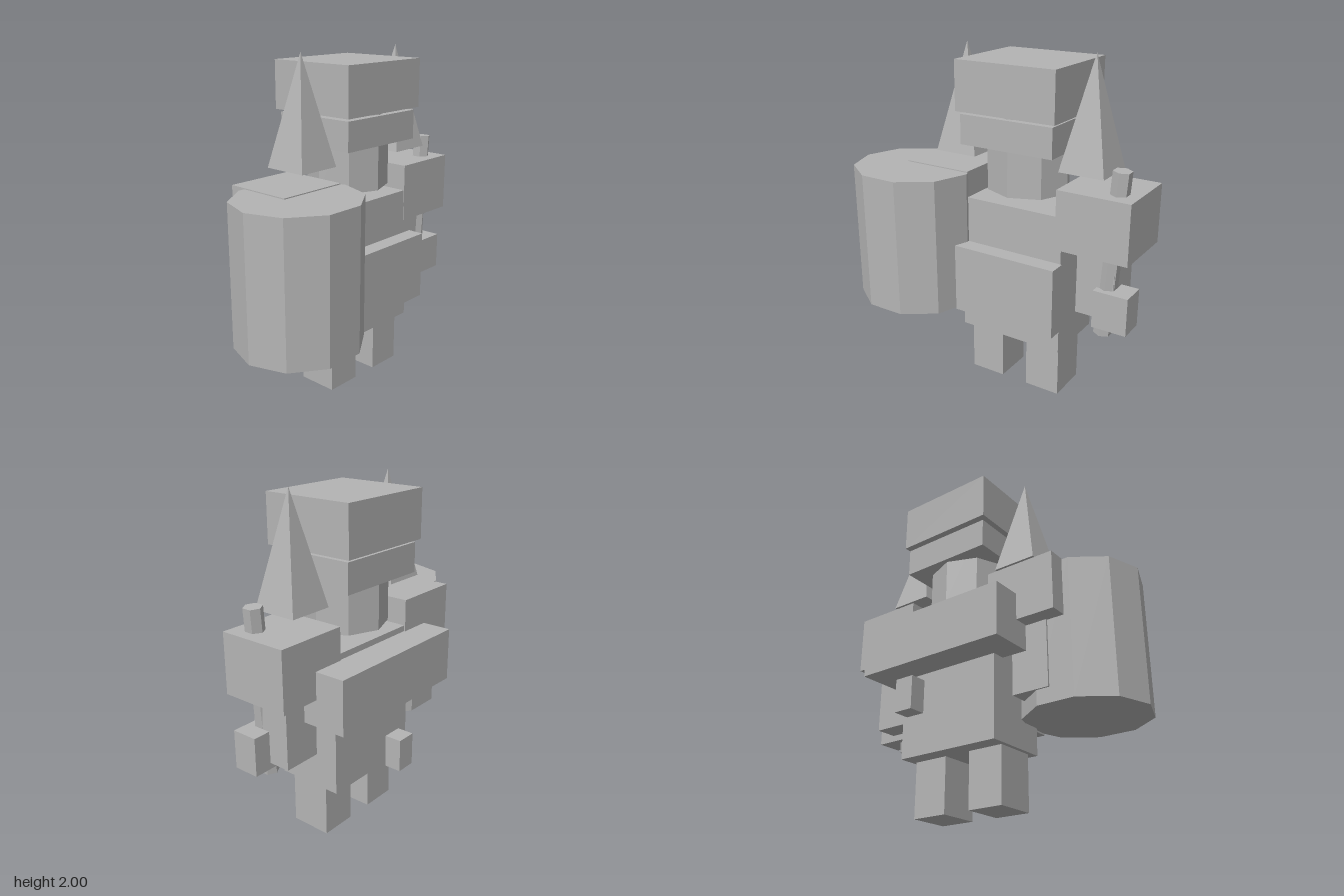
import * as THREE from 'three';

export function createModel() {
  const model = new THREE.Group();
  const stone = new THREE.MeshStandardMaterial({ color: 0xb4b4b4, flatShading: true });
  stone.name = 'stone grey';
  const MID = 0.145; // the body's own mirror line

  const add = (name, geometry, x, y, z) => {
    const mesh = new THREE.Mesh(geometry, stone);
    mesh.name = name;
    mesh.position.set(x, y, z);
    model.add(mesh);
    return mesh;
  };

  // Box given by its limits on each axis
  const box = (name, [x0, x1], [y0, y1], [z0, z1]) =>
    add(name, new THREE.BoxGeometry(x1 - x0, y1 - y0, z1 - z0),
      (x0 + x1) / 2, (y0 + y1) / 2, (z0 + z1) / 2);

  // Same box on both sides of the mirror line
  const pair = (name, [x0, x1], y, z) => {
    box('left' + name, [x0, x1], y, z);
    box('right' + name, [2 * MID - x1, 2 * MID - x0], y, z);
  };

  // Torso, belly plate, back slab and tail
  box('torso', [-0.18, 0.47], [0.32, 1.145], [-0.24, 0.16]);
  box('bellyPlate', [-0.16, 0.485], [0.47, 0.88], [0.172, 0.272]);
  box('backSlab', [-0.335, 0.625], [0.8, 1.11], [-0.425, -0.16]);
  box('tail', [0.15, 0.265], [0.475, 0.66], [-0.52, -0.423]);

  // Limbs
  pair('Leg', [0.228, 0.444], [0, 0.32], [-0.14, 0.105]);
  pair('Shoulder', [0.433, 0.86], [0.953, 1.298], [-0.247, 0.163]);
  pair('Arm', [0.53, 0.755], [0.567, 0.955], [-0.155, 0.08]);
  box('leftHand', [0.655, 0.86], [0.53, 0.753], [-0.026, 0.128]);

  // Head with brim and cap
  const head = new THREE.CylinderGeometry(0.245, 0.245, 0.45, 8);
  head.scale(1, 1, 0.95);
  add('head', head, MID, 1.431, -0.042);
  box('brim', [-0.143, 0.432], [1.473, 1.643], [-0.3, 0.217]);
  box('cap', [-0.163, 0.452], [1.659, 1.939], [-0.322, 0.235]);

  // Horns: square pyramids
  for (const [side, s] of [['left', 1], ['right', -1]]) {
    const horn = new THREE.ConeGeometry(0.133 * Math.SQRT2, 0.622, 4);
    horn.rotateY(Math.PI / 4);
    add(side + 'Horn', horn, MID + s * 0.402, 1.689, -0.021);
  }

  // Ten-sided barrel
  const barrel = new THREE.CylinderGeometry(0.367, 0.367, 0.812, 10);
  barrel.rotateY(Math.PI / 10);
  barrel.scale(1, 1, 0.95);
  add('barrel', barrel, -0.498, 0.886, 0.187);

  // Leaning six-sided staff
  const staff = add('staff', new THREE.CylinderGeometry(0.053, 0.053, 0.96, 6), 0.723, 0.948, 0.048);
  staff.rotation.z = -0.068;

  return model;
}
